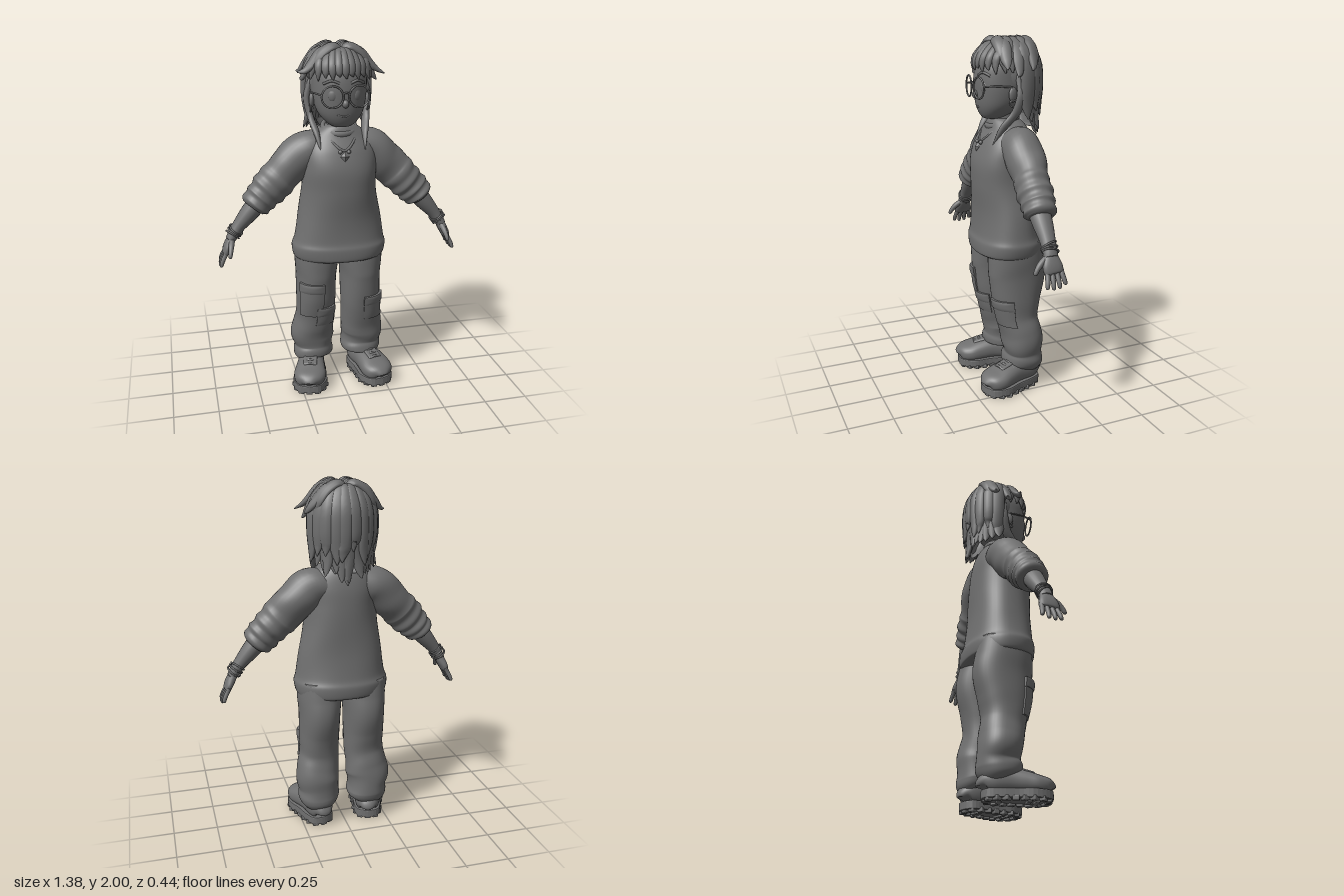
import * as THREE from 'three';
import { RoundedBoxGeometry } from 'three/addons/geometries/RoundedBoxGeometry.js';

const mat = new THREE.MeshStandardMaterial({ color: 0x707070 });
const V = (x, y, z) => new THREE.Vector3(x, y, z);
let seed = 7;
const rnd = () => (seed = (seed * 16807) % 2147483647) / 2147483647;

function add(parent, name, geometry, pos = [0, 0, 0], rot = [0, 0, 0], scale = [1, 1, 1]) {
  const m = new THREE.Mesh(geometry, mat);
  m.name = name;
  m.position.set(...pos);
  m.rotation.set(...rot);
  m.scale.set(...scale);
  parent.add(m);
  return m;
}

// Smooth closed skin over sections [x, y, z, radiusAcross, radiusAlongRef]; level keeps sections horizontal
function sweep(pts, { n = 28, m = pts.length * 5, pw = 1, level = false, ref = () => V(0, 0, 1), bump = () => 0 } = {}) {
  const path = new THREE.CatmullRomCurve3(pts.map(p => V(p[0], p[1], p[2])), false, 'catmullrom');
  const radii = new THREE.CatmullRomCurve3(pts.map(p => V(p[3], p[4], 0)), false, 'catmullrom');
  const pos = [], idx = [];
  const pwr = c => Math.sign(c) * Math.abs(c) ** pw;
  for (let i = 0; i <= m; i++) {
    const t = i / m, P = path.getPoint(t), R = radii.getPoint(t), B = ref(P);
    const T = level ? V(0, 1, 0) : path.getTangent(t);
    B.addScaledVector(T, -B.dot(T)).normalize();
    const N = T.clone().cross(B);
    for (let j = 0; j < n; j++) {
      const a = j / n * Math.PI * 2, k = 1 + bump(P, a);
      const q = P.clone().addScaledVector(N, pwr(Math.cos(a)) * R.x * k).addScaledVector(B, pwr(Math.sin(a)) * R.y * k);
      pos.push(q.x, q.y, q.z);
      const u = i * n + j, v = i * n + (j + 1) % n;
      if (i < m) idx.push(u, u + n, v, v, u + n, v + n);
    }
  }
  const s = pos.length / 3, end = m * n;
  for (const t of [0, 1]) pos.push(...path.getPoint(t).toArray());
  for (let j = 0; j < n; j++) {
    const k = (j + 1) % n;
    idx.push(s, j, k, s + 1, end + k, end + j);
  }
  const g = new THREE.BufferGeometry();
  g.setAttribute('position', new THREE.Float32BufferAttribute(pos, 3));
  g.setIndex(idx);
  g.computeVertexNormals();
  return g;
}

const tube = (pts, r) => new THREE.TubeGeometry(new THREE.CatmullRomCurve3(pts.map(p => V(...p))), 32, r, 8);
const ball = r => new THREE.SphereGeometry(r, 20, 14);

function buildSweater(g) {
  add(g, 'sweaterBody', sweep([
    [0, .8, -.01, .245, .175], [0, .815, -.01, .262, .188], [0, .87, -.01, .27, .19], [0, .92, -.008, .256, .176],
    [0, 1.05, -.004, .236, .166], [0, 1.2, .004, .21, .169], [0, 1.32, .008, .205, .166], [0, 1.42, -.003, .2, .146],
    [0, 1.5, -.015, .16, .113], [0, 1.545, -.008, .105, .088], [0, 1.56, 0, .075, .07],
  ], { n: 48, m: 70, pw: .88, level: true, bump: (p, a) => .012 * Math.sin(3 * a + p.y * 14) }));
  add(g, 'collar', new THREE.TorusGeometry(.085, .015, 10, 32), [0, 1.54, .005], [Math.PI / 2 + .35, 0, 0], [1.05, 1, 1.3]);
  add(g, 'neck', new THREE.CylinderGeometry(.06, .07, .16, 24), [0, 1.58, 0]);
  // Necklace and pendant resting on the chest
  add(g, 'necklace', tube([[-.085, 1.54, .03], [-.06, 1.48, .1], [0, 1.435, .138], [.06, 1.48, .1], [.085, 1.54, .03]], .007));
  add(g, 'pendant', new THREE.OctahedronGeometry(.025), [0, 1.405, .152], [-.3, 0, 0], [1, 1.1, .6]);
  for (const s of [-1, 1]) add(g, 'pendantBead', ball(.011), [s * .024, 1.43, .142]);
}

function buildArm(g, s) {
  const side = s > 0 ? 'left' : 'right';
  const arm = pts => pts.map(([x, ...r]) => [s * x, ...r]);
  add(g, side + 'Sleeve', sweep(arm([
    [.07, 1.43, -.02, .085, .1], [.18, 1.412, -.026, .11, .11], [.27, 1.335, -.024, .11, .104], [.325, 1.28, -.018, .105, .093],
    [.35, 1.255, -.014, .108, .097], [.375, 1.23, -.012, .1, .09], [.4, 1.205, -.01, .105, .096], [.42, 1.185, -.008, .092, .086],
    [.44, 1.163, -.006, .097, .094], [.455, 1.147, -.004, .087, .086], [.475, 1.125, -.002, .086, .092], [.487, 1.11, 0, .064, .07],
  ]), { m: 72, bump: (p, a) => .025 * Math.sin(2 * a + p.x * 45) }));
  add(g, side + 'Forearm', sweep(arm([
    [.45, 1.15, 0, .055, .06], [.51, 1.08, 0, .05, .054], [.57, 1.01, .002, .037, .042], [.605, .96, .005, .031, .038], [.62, .935, .006, .027, .038],
  ]), { n: 20 }));
  // Stack of bracelets
  for (let i = 0; i < 3; i++) {
    const b = add(g, side + 'Bracelet', new THREE.TorusGeometry(.041, .005, 8, 24), [s * (.587 + i * .01), .99 - i * .014, .004]);
    b.lookAt(b.position.clone().add(V(s * .12, -.16, (i - 1) * .05)));
  }
  add(g, side + 'Palm', sweep(arm([
    [.605, .96, .005, .02, .03], [.62, .93, .006, .025, .042], [.638, .895, .006, .024, .054], [.65, .865, .004, .019, .052], [.655, .855, .003, .008, .04],
  ]), { n: 20, pw: .85 }));
  for (let i = 0; i < 4; i++) {
    const z = .042 - i * .027, len = [.95, 1.05, 1, .8][i], spread = z * .25;
    add(g, side + 'Finger', sweep(arm([
      [.642, .88, z, .012, .013], [.655, .855, z, .013, .0135], [.655 + .018 * len, .855 - .035 * len, z + spread * .6, .012, .0125],
      [.655 + .026 * len, .855 - .06 * len, z + spread, .01, .01], [.655 + .027 * len, .855 - .068 * len, z + spread, .003, .003],
    ]), { n: 10 }));
  }
  add(g, side + 'Thumb', sweep(arm([
    [.615, .935, .03, .016, .016], [.622, .91, .062, .017, .016], [.628, .885, .085, .014, .013], [.632, .862, .098, .011, .01], [.633, .855, .101, .003, .003],
  ]), { n: 12, ref: () => V(s, .5, 0) }));
}

// Trouser leg sections, top to bottom
const LEG = [
  [.128, .88, -.015, .126, .15], [.13, .78, -.022, .124, .16], [.132, .68, -.03, .115, .165], [.134, .55, -.024, .114, .143],
  [.136, .43, -.028, .113, .12], [.148, .34, -.045, .122, .116], [.153, .28, -.055, .126, .116], [.148, .22, -.06, .114, .11],
  [.147, .175, -.057, .12, .116], [.145, .14, -.054, .108, .108], [.143, .125, -.05, .07, .07],
];

// Thin pocket wrapped round a leg, angles in degrees from the outer side towards the front
function pocketPatch(s, a0, a1, y0, y1, thick) {
  const geo = new THREE.BoxGeometry(1, 1, 1, 14, 8, 2), p = geo.attributes.position;
  for (let i = 0; i < p.count; i++) {
    const u = p.getX(i), v = p.getY(i), y = y0 + (v + .5) * (y1 - y0);
    const k = LEG.findIndex(q => q[1] <= y), A = LEG[k - 1], f = (A[1] - y) / (A[1] - LEG[k][1]);
    const [cx, , cz, rx, rz] = A.map((q, j) => q + (LEG[k][j] - q) * f);
    const a = (a0 + (.5 - s * u) * (a1 - a0)) * Math.PI / 180;
    const bulge = thick * (1 - .5 * Math.max(Math.abs(u), Math.abs(v)) ** 3 * 8) + thick;
    const out = p.getZ(i) > 0 ? bulge : -.01;
    p.setXYZ(i, s * (cx + Math.abs(Math.cos(a)) ** .9 * Math.sign(Math.cos(a)) * (rx + out)), y, cz + Math.sin(a) ** .9 * (rz + out));
  }
  geo.computeVertexNormals();
  return geo;
}

function buildLeg(g, s) {
  const side = s > 0 ? 'left' : 'right';
  add(g, side + 'TrouserLeg', sweep(LEG.map(([x, ...r]) => [s * x, ...r]),
    { n: 40, m: 66, pw: .9, bump: (p, a) => .06 * Math.max(0, .6 - p.y) * Math.sin(2 * a + s * p.y * 38) }));

  // Shoe, turned slightly outwards
  const shoe = new THREE.Group();
  shoe.name = side + 'Shoe';
  shoe.position.set(s * .178, 0, .027);
  shoe.rotation.y = s * .25;
  g.add(shoe);
  const outline = k => new THREE.Shape(new THREE.SplineCurve([
    [0, .185], [.065, .167], [.098, .09], [.084, 0], [.078, -.09], [.06, -.16], [0, -.182],
    [-.06, -.16], [-.078, -.09], [-.084, 0], [-.098, .09], [-.065, .167], [0, .185],
  ].map(([a, b]) => new THREE.Vector2(a * k, -b * k))).getPoints(48));
  add(shoe, 'sole', new THREE.ExtrudeGeometry(outline(.97), { depth: .034, bevelSize: .006, bevelThickness: .006, bevelSegments: 2 }), [0, .019, 0], [-Math.PI / 2, 0, 0]);
  const rim = outline(.87).getSpacedPoints(18);
  for (let i = 0; i < 18; i++) {
    const p = rim[i];
    add(shoe, 'soleLug', new RoundedBoxGeometry(.036, .025, .036, 2, .006), [p.x, .0125, -p.y], [0, Math.atan2(p.x, -p.y), 0]);
  }
  for (const z of [-.09, .06, .1]) add(shoe, 'soleLug', new RoundedBoxGeometry(.08, .02, .025, 2, .005), [0, .012, z]);
  add(shoe, 'upper', sweep([
    [0, .07, -.174, .02, .025], [0, .085, -.166, .056, .05], [0, .1, -.12, .074, .068], [0, .105, -.03, .078, .068], [0, .098, .04, .087, .064],
    [0, .088, .1, .094, .056], [0, .082, .148, .08, .049], [0, .076, .174, .05, .036], [0, .07, .181, .015, .015],
  ], { n: 32, pw: .85, ref: () => V(0, 1, 0) }));
  add(shoe, 'tongue', new RoundedBoxGeometry(.08, .022, .11, 3, .01), [0, .158, .035], [.25, 0, 0]);
  for (let i = 0; i < 3; i++)
    add(shoe, 'lace', tube([[-.055, .148 - i * .008, .02 + i * .03], [0, .173 - i * .008, .024 + i * .03], [.055, .148 - i * .008, .02 + i * .03]], .007));
}

function buildHead(g) {
  add(g, 'head', sweep([
    [0, 1.555, .065, .02, .02], [0, 1.562, .062, .055, .052], [0, 1.59, .045, .092, .09], [0, 1.635, .025, .124, .125], [0, 1.7, .008, .143, .15],
    [0, 1.77, 0, .149, .16], [0, 1.84, -.005, .146, .153], [0, 1.9, -.012, .122, .125], [0, 1.945, -.02, .075, .08], [0, 1.96, -.02, .015, .015],
  ], { n: 40, m: 54, pw: .92, level: true }));
  add(g, 'nose', ball(.02), [0, 1.69, .16], [0, 0, 0], [.9, 1.1, 1]);
  add(g, 'mouth', tube([[-.042, 1.632, .14], [0, 1.622, .146], [.05, 1.642, .137]], .005));
  for (const s of [-1, 1]) {
    add(g, 'eye', ball(.03), [s * .066, 1.733, .137], [0, s * .4, 0], [.8, 1.1, .45]);
    add(g, 'eyebrow', tube([[s * .03, 1.797, .154], [s * .07, 1.81, .145], [s * .11, 1.793, .118]], .007));
    add(g, 'ear', ball(.034), [s * .15, 1.695, .005], [0, s * .3, 0], [.45, 1.2, .8]);
    add(g, 'earring', new THREE.TorusGeometry(.018, .005, 8, 20), [s * .158, 1.65, .008], [0, Math.PI / 2, 0]);
    // Round spectacles with temples
    add(g, 'glassesRim', new THREE.TorusGeometry(.057, .005, 8, 36), [s * .072, 1.73, .17], [0, s * .12, 0]);
    add(g, 'glassesTemple', tube([[s * .128, 1.74, .163], [s * .148, 1.742, .1], [s * .154, 1.735, .01]], .005));
  }
  add(g, 'glassesBridge', tube([[-.018, 1.745, .174], [0, 1.752, .18], [.018, 1.745, .174]], .005));
}

function buildHair(g) {
  const C = V(0, 1.79, -.035);
  add(g, 'hairCap', new THREE.SphereGeometry(1, 40, 28), [0, 1.795, -.045], [0, 0, 0], [.163, .178, .15]);
  add(g, 'hairNape', sweep([[0, 1.75, -.09, .15, .08], [0, 1.65, -.105, .135, .07], [0, 1.57, -.125, .105, .045], [0, 1.51, -.145, .07, .02]], { level: true }));
  const lock = (pts, name = 'hairLock') => add(g, name, sweep(pts, { n: 10, m: 20, ref: p => p.clone().sub(C) }));

  // Long locks falling from the parting: angle from the front, tip height, radius, outward flare, width
  const fall = (deg, tip, r, flare, w) => {
    const a = deg * Math.PI / 180, sx = Math.sin(a), cz = Math.cos(a), s = Math.sign(sx) || 1, sway = (rnd() - .5) * .035;
    const at = (q, y, k, dx = 0) => [sx * q * 1.08 + dx, y, C.z + cz * q, w * k, .021 * k];
    lock([
      [s * .012, 1.968, C.z + cz * .09, w * .5, .012], at(r - .045, 1.94, .9), at(r - .005, 1.85, 1.1), at(r + .004, 1.74, 1.05),
      at(r, (1.74 + tip) / 2, .95, sway * .3), at(r + flare * .4, tip + .04, .6, sway), at(r + flare, tip, .08, sway * 1.3),
    ]);
  };
  for (const s of [-1, 1]) {
    // Under layer lengthens towards the back, upper layer is shorter and uneven
    for (let i = 0; i < 7; i++) fall(s * (102 + i * 12.5), 1.56 - i * .017 + (rnd() - .5) * .06, .145, .022, .033 + rnd() * .008);
    for (let i = 0; i < 5; i++) fall(s * (97 + i * 18 + rnd() * 8), 1.6 + (rnd() - .6) * .1, .162, .012, .03 + rnd() * .014);
    // Strand resting in front of the shoulder
    lock([[s * .15, 1.8, -.03, .022, .015], [s * .172, 1.7, -.035, .027, .018], [s * .155, 1.6, -.01, .028, .018], [s * .135, 1.52, .055, .022, .016], [s * .122, 1.43, .112, .003, .003]]);
    // Tufts kicking out at the sides
    for (const [z, y, x] of [[.05, 1.84, .235], [-.02, 1.8, .21], [-.1, 1.83, .215]])
      lock([[s * .02, 1.972, z - .02, .02, .012], [s * .1, 1.952, z - .01, .036, .022], [s * .16, 1.885, z, .032, .02], [s * .195, y + .015, z + .008, .02, .013], [s * x, y - s * .008, z + .01 + s * .012, .003, .003]]);
    // Volume on the crown
    for (let i = 0; i < 5; i++) {
      const z = .06 - i * .045;
      lock([[s * .006, 1.962, z, .02, .01], [s * .045, 1.978, z, .032, .018], [s * .105, 1.943, z, .036, .02], [s * .148, 1.88, z, .03, .016], [s * .166, 1.81, z * .9, .004, .004]]);
    }
  }
  // Fringe over the forehead
  for (let i = -4; i <= 4; i++) {
    const x = i * .031, z = .165 - x * x * 4.2, tip = 1.82 + (i % 2 ? .014 : 0) - Math.abs(x) * .12;
    lock([[x * .35, 1.965, .02, .014, .01], [x * .7, 1.952, z - .075, .025, .017], [x, 1.9, z - .02, .025, .017], [x * 1.06, 1.855, z - .002, .02, .013], [x * 1.12 + .006, tip, z, .003, .003]], 'fringe');
  }
}

export function createModel() {
  const g = new THREE.Group();
  g.name = 'figure';
  buildSweater(g);
  for (const s of [-1, 1]) {
    buildArm(g, s);
    buildLeg(g, s);
  }
  // Cargo pockets with flaps: side, angles, heights
  for (const [s, a0, a1, y0, y1] of [[-1, 30, 98, .45, .655], [-1, 85, 138, .385, .5], [1, 22, 92, .4, .55]]) {
    add(g, 'cargoPocket', pocketPatch(s, a0, a1, y0, y1, .006));
    add(g, 'pocketFlap', pocketPatch(s, a0 - 1, a1 + 1, y1 - .05, y1 + .005, .009));
  }
  buildHead(g);
  buildHair(g);
  return g;
}
